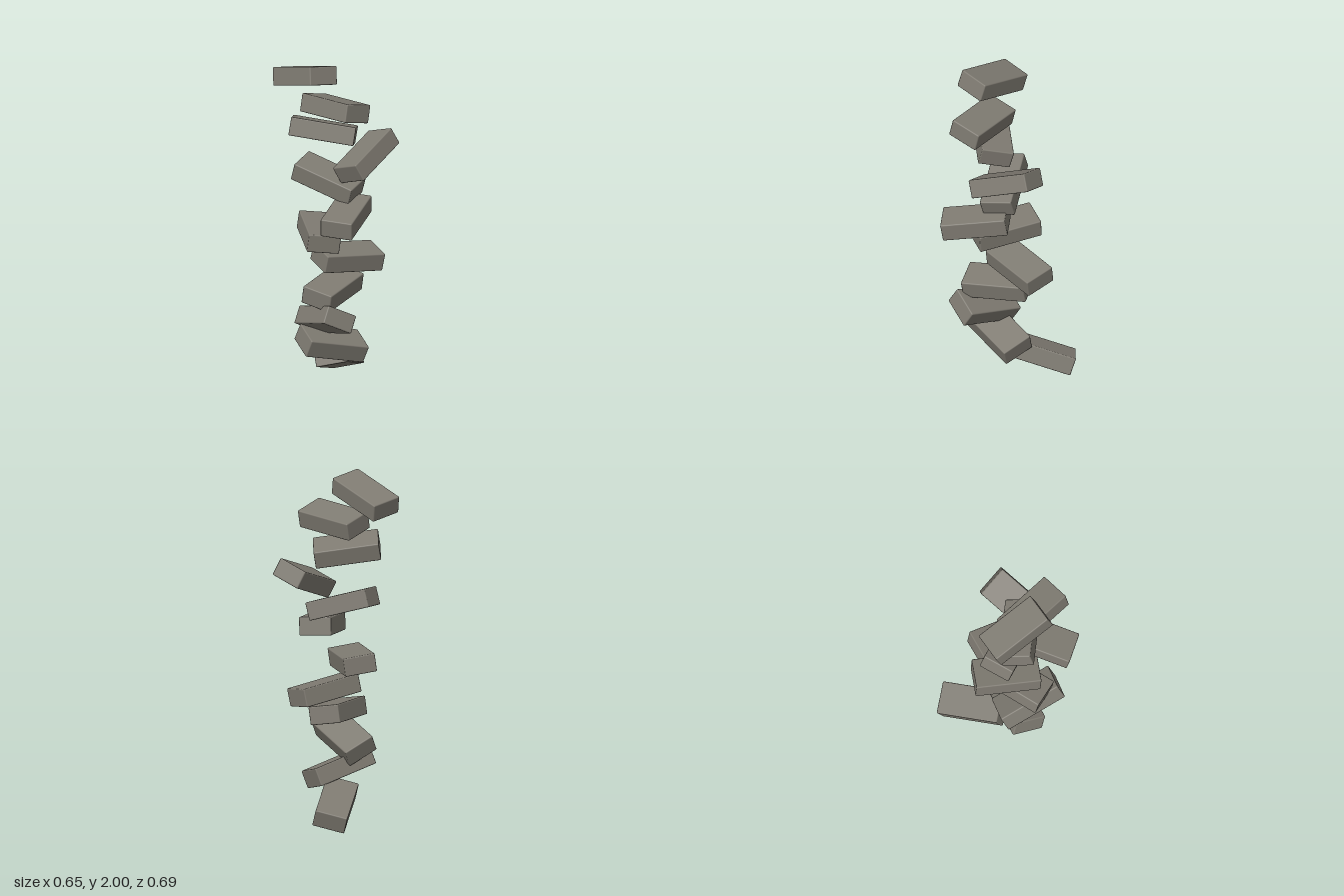
import * as THREE from 'three';
import { RoundedBoxGeometry } from 'three/addons/geometries/RoundedBoxGeometry.js';

// Each brick: centre, direction of its length, direction of its width
const BRICKS = [
  [[0.115, 0.13, -0.162], [0.296, -0.116, -0.197], [0.107, 0.042, 0.135]],
  [[-0.074, 0.285, -0.003], [0.35, -0.085, 0.09], [0.055, 0.055, -0.165]],
  [[-0.15, 0.45, 0.029], [0.08, -0.1, -0.35], [0.165, -0.085, 0.06]],
  [[-0.074, 0.619, 0.005], [0.34, 0.037, -0.12], [0.065, -0.035, 0.17]],
  [[0.063, 0.772, -0.021], [0.365, -0.04, 0.08], [-0.045, -0.035, 0.175]],
  [[-0.095, 0.935, -0.09], [-0.19, -0.03, 0.31], [0.16, -0.023, 0.1]],
  [[-0.111, 1.098, 0.166], [0.31, 0.06, -0.19], [0.098, -0.01, 0.155]],
  [[-0.066, 1.264, -0.042], [0.15, -0.111, 0.317], [0.165, 0.028, -0.07]],
  [[0.077, 1.411, 0.124], [0.335, 0.135, -0.08], [0.024, 0.055, 0.173]],
  [[-0.127, 1.571, -0.016], [0.254, -0.053, 0.265], [0.12, -0.042, -0.135]],
  [[-0.123, 1.728, 0.085], [0.02, 0.016, 0.372], [0.18, -0.042, -0.004]],
  [[-0.193, 1.892, -0.1], [-0.029, 0.095, 0.363], [0.179, -0.026, 0.02]],
];

export function createModel() {
  const group = new THREE.Group();
  group.name = 'brickStack';
  const stone = new THREE.MeshStandardMaterial({ color: 0x7f7b72 });
  stone.name = 'greyStone';
  // Length, height, width with slightly softened edges
  const geometry = new RoundedBoxGeometry(0.377, 0.107, 0.188, 2, 0.007);

  BRICKS.forEach(([centre, length, width], i) => {
    const x = new THREE.Vector3(...length).normalize();
    const w = new THREE.Vector3(...width);
    const z = w.addScaledVector(x, -w.dot(x)).normalize();
    const y = new THREE.Vector3().crossVectors(z, x);
    const brick = new THREE.Mesh(geometry, stone);
    brick.name = `brick${i + 1}`;
    brick.quaternion.setFromRotationMatrix(new THREE.Matrix4().makeBasis(x, y, z));
    brick.position.set(...centre);
    group.add(brick);
  });
  return group;
}
